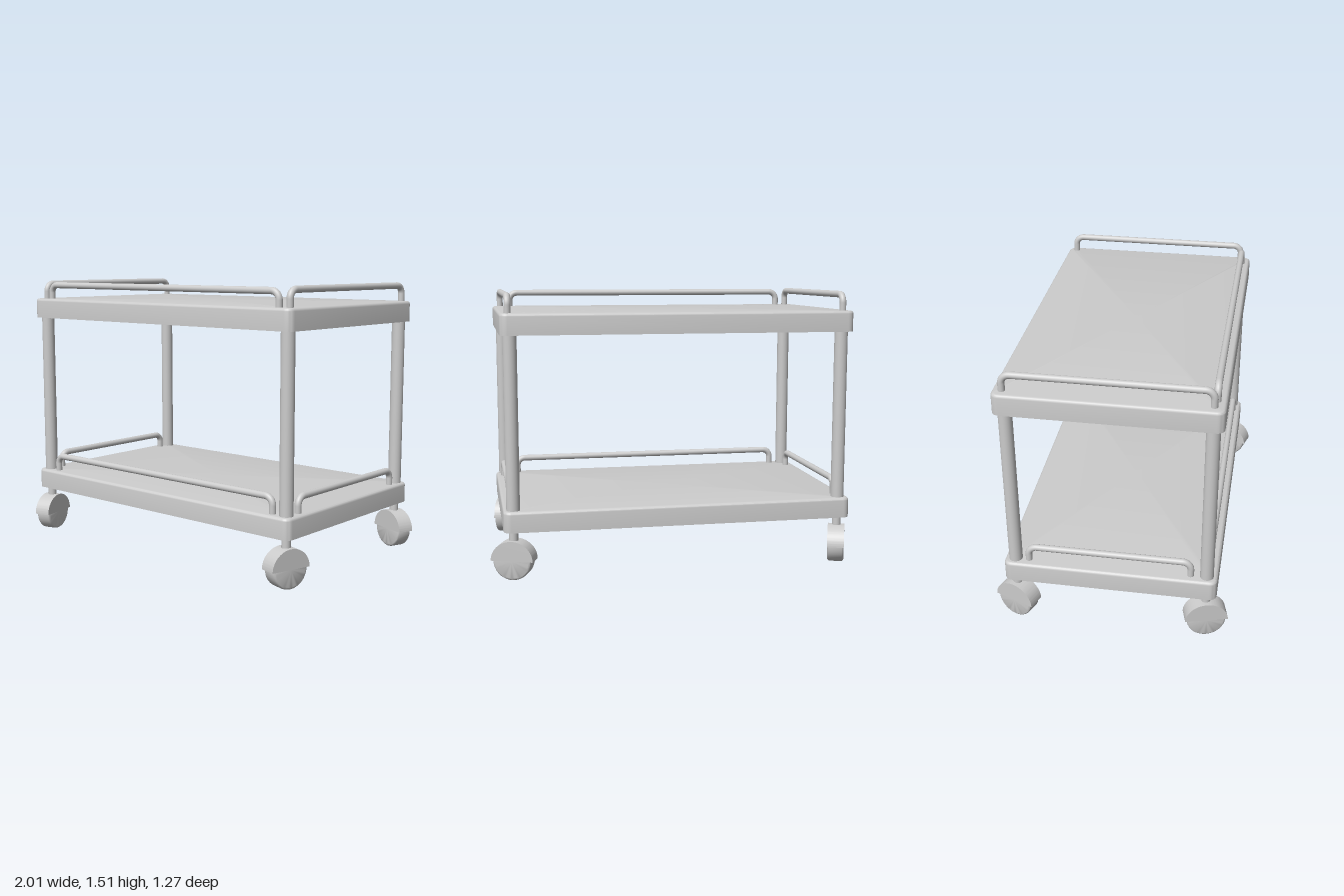
import * as THREE from 'three';
import { toCreasedNormals } from 'three/addons/utils/BufferGeometryUtils.js';

const material = new THREE.MeshStandardMaterial({ color: 0xcccccc });
const CX = -0.013, HX = 0.954, HZ = 0.57; // tray centre and half sizes
const POST_X = [-0.909, 0.888], POST_Z = 0.513;

function add(parent, name, geometry, x = 0, y = 0, z = 0) {
  const mesh = new THREE.Mesh(geometry, material);
  mesh.name = name;
  mesh.position.set(x, y, z);
  parent.add(mesh);
  return mesh;
}

// Rounded rectangle outline, moved inwards by inset (null collapses to the centre)
function ring(inset, y) {
  const r = 0.04, points = [];
  for (let corner = 0; corner < 4; corner++) {
    const sx = corner === 0 || corner === 3 ? 1 : -1, sz = corner < 2 ? 1 : -1;
    for (let i = 0; i <= 6; i++) {
      const a = (corner + i / 6) * Math.PI / 2;
      points.push(inset === null ? [0, y, 0] : [
        sx * (HX - r) + (r - inset) * Math.cos(a), y,
        sz * (HZ - r) + (r - inset) * Math.sin(a)]);
    }
  }
  return points;
}

// Tray: a thin shell open below, with a softened top edge
function trayGeometry(height) {
  const wall = 0.01, bevel = 0.016;
  const rings = [ring(null, height - wall), ring(wall, height - wall), ring(wall, 0), ring(0, 0)];
  for (let i = 0; i <= 4; i++) {
    const a = i / 4 * Math.PI / 2;
    rings.push(ring(bevel * (1 - Math.cos(a)), height - bevel * (1 - Math.sin(a))));
  }
  rings.push(ring(null, height));
  const positions = [];
  for (let k = 0; k < rings.length - 1; k++) {
    const low = rings[k], high = rings[k + 1], n = low.length;
    for (let j = 0; j < n; j++) {
      const m = (j + 1) % n;
      if (k < rings.length - 2) positions.push(...low[j], ...high[j], ...high[m]);
      if (k > 0) positions.push(...low[j], ...high[m], ...low[m]);
    }
  }
  const geometry = new THREE.BufferGeometry();
  geometry.setAttribute('position', new THREE.Float32BufferAttribute(positions, 3));
  return toCreasedNormals(geometry, 0.7);
}

// Rail along local x: two legs, two elbows and a bar
function makeRail(name, length, base, top) {
  const rail = new THREE.Group();
  rail.name = name;
  const r = 0.018, bend = 0.045, legHeight = top - bend - base;
  for (const side of [-1, 1]) {
    add(rail, 'railLeg', new THREE.CylinderGeometry(r, r, legHeight, 16),
      side * length / 2, base + legHeight / 2, 0);
    const elbow = add(rail, 'railElbow', new THREE.TorusGeometry(bend, r, 16, 10, Math.PI / 2),
      side * (length / 2 - bend), top - bend, 0);
    if (side < 0) elbow.rotation.y = Math.PI;
  }
  const bar = add(rail, 'railBar', new THREE.CylinderGeometry(r, r, length - 2 * bend, 16), 0, top, 0);
  bar.rotation.z = Math.PI / 2;
  return rail;
}

// Caster: stem, wheel and half-round cover, rolling along (dx, dz)
function makeCaster(dx, dz) {
  const caster = new THREE.Group();
  caster.name = 'caster';
  const hub = 0.104, half = 0.045, edge = 0.014;
  add(caster, 'stem', new THREE.CylinderGeometry(0.024, 0.024, 0.12, 20), 0, 0.24, 0);

  const profile = [new THREE.Vector2(0, -half)];
  for (const side of [-1, 1]) {
    for (let i = 0; i <= 4; i++) {
      const a = (side < 0 ? i - 4 : i) / 4 * Math.PI / 2;
      profile.push(new THREE.Vector2(hub - edge + edge * Math.cos(a),
        side * (half - edge) + edge * Math.sin(a)));
    }
  }
  profile.push(new THREE.Vector2(0, half));
  const wheel = add(caster, 'wheel',
    toCreasedNormals(new THREE.LatheGeometry(profile, 40), 0.6), 0, hub, 0);
  wheel.rotation.x = Math.PI / 2;

  const shape = new THREE.Shape();
  shape.absellipse(0, 0, 0.115, 0.107, 0, Math.PI, false);
  shape.closePath();
  const cover = new THREE.ExtrudeGeometry(shape, { depth: 0.092, bevelEnabled: false, curveSegments: 28 });
  cover.translate(0, 0, -0.046);
  add(caster, 'wheelCover', toCreasedNormals(cover, 0.6), 0, hub, 0);
  caster.rotation.y = Math.atan2(-dz, dx);
  return caster;
}

export function createModel() {
  const cart = new THREE.Group();
  cart.name = 'serviceCart';

  // Trays with a front rail and two side rails each; the back stays open
  const levels = [
    { name: 'lower', y: 0.26, height: 0.111, front: 1.638, frontX: -0.011, frontY: 0.458,
      side: 0.868, sideZ: -0.006, sideY: 0.454 },
    { name: 'upper', y: 1.292, height: 0.113, front: 1.692, frontX: -0.008, frontY: 1.485,
      side: 1.032, sideZ: -0.004, sideY: 1.492 },
  ];
  for (const level of levels) {
    add(cart, level.name + 'Tray', trayGeometry(level.height), CX, level.y, 0);
    const base = level.y + level.height - 0.016;
    const front = makeRail(level.name + 'FrontRail', level.front, base, level.frontY);
    front.position.set(level.frontX, 0, 0.522);
    cart.add(front);
    for (const [name, x] of [['RightRail', -0.912], ['LeftRail', 0.897]]) {
      const rail = makeRail(level.name + name, level.side, base, level.sideY);
      rail.rotation.y = Math.PI / 2;
      rail.position.set(x, 0, level.sideZ);
      cart.add(rail);
    }
  }

  // Corner posts, each above a swivelled caster
  const corners = [
    [POST_X[0], POST_Z, 0.26, 0.97], [POST_X[1], POST_Z, 0.28, -0.96],
    [POST_X[0], -POST_Z, -0.37, 0.93], [POST_X[1], -POST_Z, 0.935, 0.353],
  ];
  for (const [x, z, dx, dz] of corners) {
    add(cart, 'cornerPost', new THREE.CylinderGeometry(0.036, 0.036, 1.138, 28), x, 0.261 + 0.569, z);
    const caster = makeCaster(dx, dz);
    caster.position.set(x, 0, z);
    cart.add(caster);
  }
  return cart;
}
